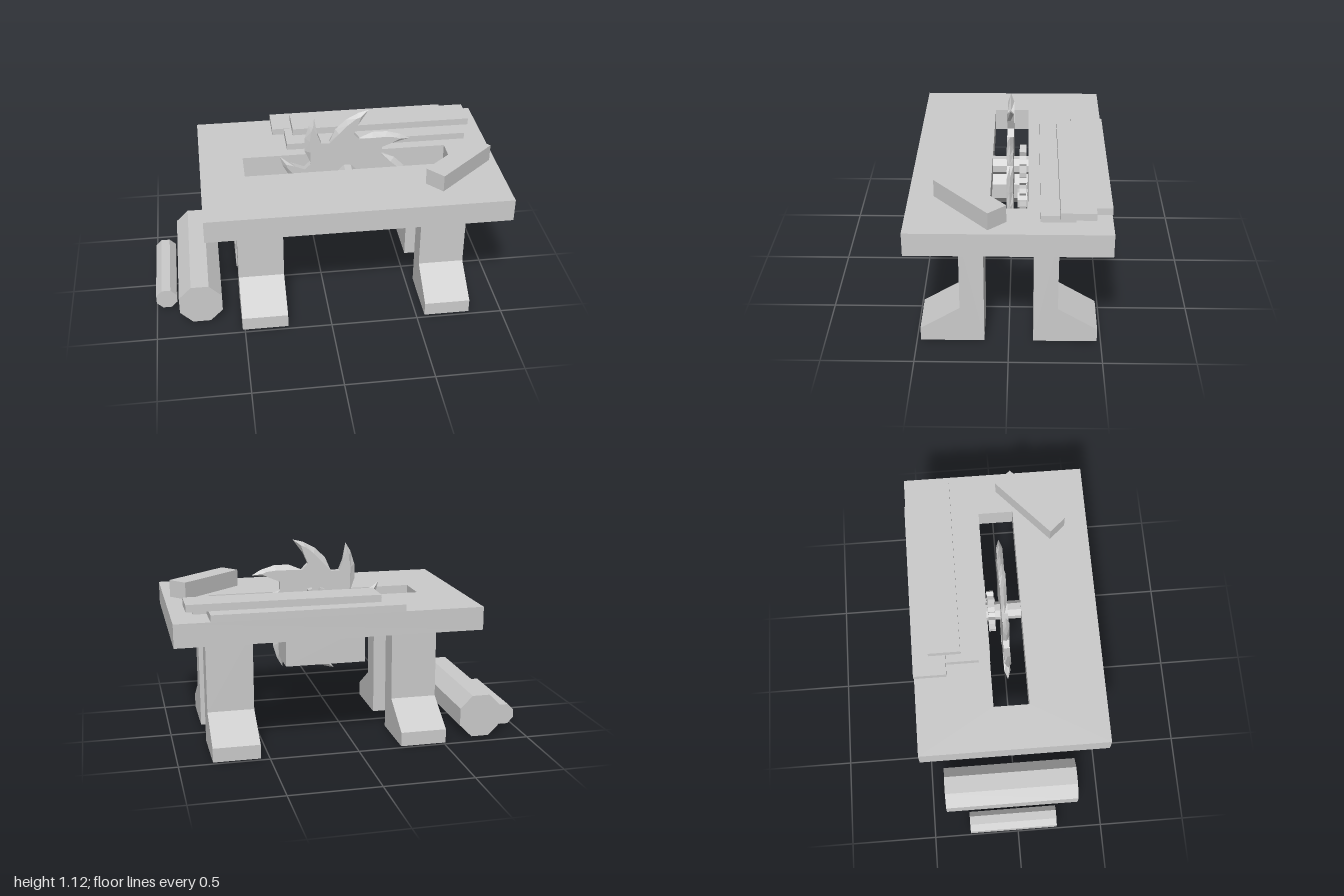
import * as THREE from 'three';

const material = new THREE.MeshStandardMaterial({ color: 0xcccccc, flatShading: true });

function add(parent, name, geometry, x = 0, y = 0, z = 0) {
  const mesh = new THREE.Mesh(geometry, material);
  mesh.name = name;
  mesh.position.set(x, y, z);
  parent.add(mesh);
  return mesh;
}

// Box given by its limits on each axis
function addBox(parent, name, [x0, x1], [y0, y1], [z0, z1]) {
  return add(parent, name, new THREE.BoxGeometry(x1 - x0, y1 - y0, z1 - z0),
    (x0 + x1) / 2, (y0 + y1) / 2, (z0 + z1) / 2);
}

// Eight-sided bar lying along z with flat top, sized by its half width
function barGeometry(halfWidth, length) {
  const r = halfWidth / Math.cos(Math.PI / 8);
  return new THREE.CylinderGeometry(r, r, length, 8, 1, false, Math.PI / 8).rotateX(Math.PI / 2);
}

const polar = (r, degrees) => {
  const a = THREE.MathUtils.degToRad(degrees);
  return new THREE.Vector2(r * Math.cos(a), r * Math.sin(a));
};

const extrude = (shape, depth) =>
  new THREE.ExtrudeGeometry(shape, { depth, bevelEnabled: false }).translate(0, 0, -depth / 2);

// Disc with square teeth
function gearGeometry(outer, root, teeth, depth) {
  const points = [];
  const step = 360 / teeth;
  for (let i = 0; i < teeth; i++) {
    for (const [r, f] of [[root, -0.27], [outer, -0.18], [outer, 0.18], [root, 0.27]]) {
      points.push(polar(r, (i + f) * step));
    }
  }
  return extrude(new THREE.Shape(points), depth);
}

// Hooked saw blade: flat faces, with the back of each tooth ground to an edge
function bladeGeometry(teeth, half) {
  // [edge radius, edge angle, face radius, face angle], one tooth, anticlockwise
  const tooth = [
    [0.222, 72, 0.222, 72],
    [0.25, 82, 0.25, 82],
    [0.311, 79, 0.311, 79],
    [0.406, 72.8, 0.362, 78],
    [0.378, 80.5, 0.347, 82],
    [0.335, 91.5, 0.305, 90],
    [0.285, 104, 0.258, 101],
  ];
  const edge = [], face = [];
  for (let i = 0; i < teeth; i++) {
    const turn = (i * 360) / teeth;
    for (const [r, a, fr, fa] of tooth) {
      edge.push(polar(r, a + turn));
      face.push(polar(fr, fa + turn));
    }
  }
  const positions = [];
  const put = (p, z) => positions.push(p.x, p.y, z);
  for (const [a, b, c] of THREE.ShapeUtils.triangulateShape(face, [])) {
    for (const i of [a, b, c]) put(face[i], half);
    for (const i of [c, b, a]) put(face[i], -half);
  }
  for (let i = 0; i < edge.length; i++) {
    const j = (i + 1) % edge.length;
    put(face[i], half); put(edge[i], 0); put(edge[j], 0);
    put(face[i], half); put(edge[j], 0); put(face[j], half);
    put(edge[i], 0); put(face[i], -half); put(face[j], -half);
    put(edge[i], 0); put(face[j], -half); put(edge[j], 0);
  }
  const geometry = new THREE.BufferGeometry();
  geometry.setAttribute('position', new THREE.Float32BufferAttribute(positions, 3));
  geometry.computeVertexNormals();
  return geometry;
}

const rectangle = (x0, x1, y0, y1) => [[x0, y0], [x1, y0], [x1, y1], [x0, y1]]
  .map(([x, y]) => new THREE.Vector2(x, y));

export function createModel() {
  const model = new THREE.Group();
  model.name = 'sawTable';

  // Table top with a slot for the blade
  const top = new THREE.Shape(rectangle(-0.695, 1, -0.53, 0.53));
  top.holes.push(new THREE.Path(rectangle(-0.445, 0.745, -0.1, 0.1)));
  add(model, 'tableTop', extrude(top, 0.13).rotateX(-Math.PI / 2), 0, 0.732, 0);

  // Four legs with sloping feet that point outwards
  const profile = [[0.133, 0], [0.479, 0], [0.479, 0.08], [0.264, 0.213], [0.264, 0.668], [0.133, 0.668]];
  const legShape = new THREE.Shape(profile.map(([z, y]) => new THREE.Vector2(z, y)));
  const legGeometry = extrude(legShape, 0.263).rotateY(-Math.PI / 2);
  for (const x of [-0.382, 0.68]) {
    add(model, 'frontLeg', legGeometry, x);
    add(model, 'backLeg', legGeometry, x).rotation.y = Math.PI;
  }

  // Blade on its axle
  add(model, 'sawBlade', bladeGeometry(8, 0.018), 0.15, 0.732, 0);
  add(model, 'axle', barGeometry(0.048, 0.22), 0.15, 0.732, 0.01);

  // Motor and the gears that drive the axle
  addBox(model, 'motorBox', [-0.075, 0.375], [0.467, 0.668], [-0.325, -0.095]);
  add(model, 'axleGear', gearGeometry(0.118, 0.09, 10, 0.038), 0.15, 0.732, -0.07);
  add(model, 'motorGear', gearGeometry(0.096, 0.07, 8, 0.038), 0.24, 0.563, -0.07).rotation.z = 0.2;
  add(model, 'motorGearHub', barGeometry(0.053, 0.054), 0.24, 0.563, -0.068);

  // Cut boards stacked at the back
  addBox(model, 'board', [-0.25, 0.805], [0.797, 0.835], [-0.533, -0.348]);
  addBox(model, 'board', [-0.18, 0.88], [0.797, 0.835], [-0.343, -0.163]);
  addBox(model, 'board', [-0.135, 0.925], [0.835, 0.875], [-0.443, -0.262]);

  // Loose beam lying askew on the table
  add(model, 'beam', new THREE.BoxGeometry(0.446, 0.097, 0.122), 0.757, 0.848, 0.203).rotation.y = 0.72;

  // Logs on the ground
  add(model, 'largeLog', barGeometry(0.123, 0.79), -0.742, 0.123, -0.025);
  add(model, 'smallLog', barGeometry(0.06, 0.515), -0.94, 0.07, -0.027);

  return model;
}
